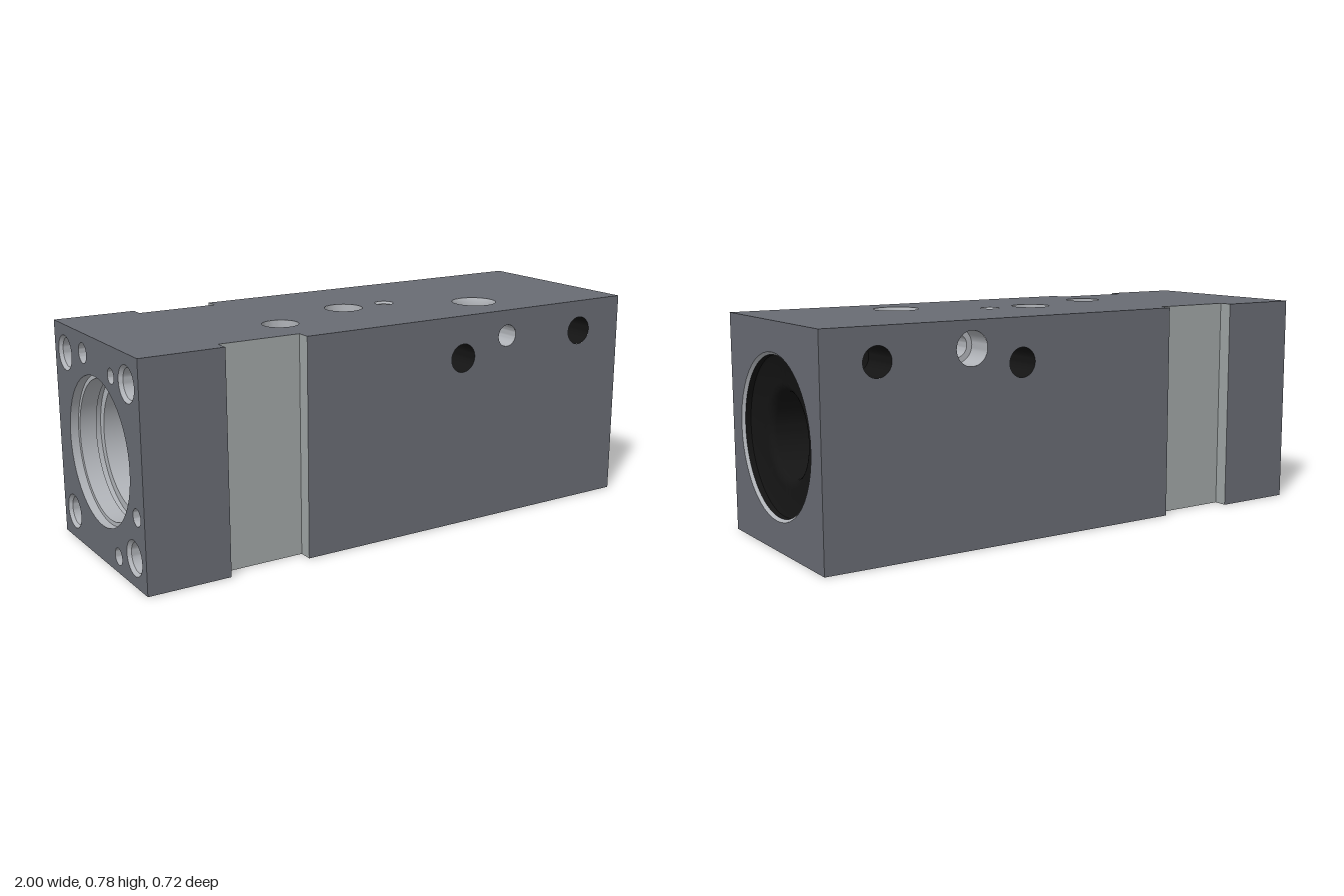
import * as THREE from 'three';
import { toCreasedNormals } from 'three/addons/utils/BufferGeometryUtils.js';

const H = 0.78, D = 0.36, SLOT = 0.05, S0 = -0.7, S1 = -0.4;
const mat = (color) => new THREE.MeshStandardMaterial({ color });
const body = mat(0x686b73), light = mat(0x9fa5a5), steel = mat(0xb0b3b8), black = mat(0x141414);

const rect = (a, b, c, d) => [[a, c], [b, c], [b, d], [a, d]];

// Turned wall of a hole: profile of [radius, depth], visible from inside
function turned(profile, u, v, material, name, sides = 40) {
  const geo = new THREE.LatheGeometry(profile.map(([r, d]) => new THREE.Vector2(r, -d)), sides);
  geo.rotateX(Math.PI / 2);
  const mesh = new THREE.Mesh(toCreasedNormals(geo, 0.6), material);
  mesh.name = name;
  mesh.position.set(u, v, 0);
  return mesh;
}

// One side of the block in its own u, v plane; depth runs inwards along -z.
// The holes pierce the last outline.
function side(name, U, V, origin, outlines, holes) {
  const g = new THREE.Group();
  g.name = name;
  const u = new THREE.Vector3(...U), v = new THREE.Vector3(...V);
  const m = new THREE.Matrix4().makeBasis(u, v, u.clone().cross(v)).setPosition(...origin);
  m.decompose(g.position, g.quaternion, g.scale);
  const shapes = outlines.map((o) => new THREE.Shape(o.map((p) => new THREE.Vector2(...p))));
  for (const h of holes) {
    const r = h.parts[0][1][0][0];
    shapes.at(-1).holes.push(new THREE.Path().absarc(h.u, h.v, r, 0, Math.PI * 2, true));
    h.parts.forEach(([material, profile]) => g.add(turned(profile, h.u, h.v, material, h.name, r > 0.2 ? 96 : 40)));
  }
  const panel = new THREE.Mesh(new THREE.ShapeGeometry(shapes, 24), body);
  panel.name = name + 'Panel';
  g.add(panel);
  return g;
}

const hole = (name, u, v, ...parts) => ({ name, u, v, parts });
const blind = (r, d) => [[r, 0], [r, d], [0, d + r * 0.4]];

// Vertical clamping slot across a long side; m mirrors it for the back
function addSlot(g, m) {
  const add = (w, x, z, turn) => {
    const mesh = new THREE.Mesh(new THREE.PlaneGeometry(w, H), light);
    mesh.name = 'slotWall';
    mesh.position.set(x * m, H / 2, z);
    mesh.rotation.y = turn;
    g.add(mesh);
  };
  add(S1 - S0, (S0 + S1) / 2, -SLOT, 0);
  add(SLOT, S0, -SLOT / 2, m * Math.PI / 2);
  add(SLOT, S1, -SLOT / 2, -m * Math.PI / 2);
}

export function createModel() {
  const model = new THREE.Group();
  model.name = 'boredBlock';

  // Long sides with the slot, two dark ports and a cross hole
  const ports = (m, crossProfile) => [
    hole('port', 0.25 * m, 0.625, [black, blind(0.052, 0.16)]),
    hole('port', 0.8 * m, 0.665, [black, blind(0.052, 0.16)]),
    hole('crossHole', 0.45 * m, 0.685, [steel, crossProfile]),
  ];
  const front = side('front', [1, 0, 0], [0, 1, 0], [0, 0, D],
    [rect(-1, S0, 0, H), rect(S1, 1, 0, H)],
    ports(1, [[0.04, 0], [0.04, 0.15]]));
  const back = side('back', [-1, 0, 0], [0, 1, 0], [0, 0, -D],
    [rect(-S0, 1, 0, H), rect(-1, -S1, 0, H)],
    ports(-1, [[0.06, 0], [0.06, 0.1], [0.04, 0.1], [0.04, 0.47]]));
  addSlot(front, 1);
  addSlot(back, -1);

  // Top and bottom share the notched outline
  const E = D - SLOT;
  const notched = [[-1, -D], [S0, -D], [S0, -E], [S1, -E], [S1, -D], [1, -D],
    [1, D], [S1, D], [S1, E], [S0, E], [S0, D], [-1, D]];
  const top = side('top', [1, 0, 0], [0, 0, -1], [0, H, 0], [notched], [
    hole('verticalHole', 0.45, -0.16,
      [steel, [[0.082, 0], [0.075, 0.012], [0.075, 0.035], [0.05, 0.035], [0.05, 0.055]]],
      [steel, [[0.05, 0.135], [0.05, 0.29]]]),
    hole('oilPort', -0.03, 0,
      [steel, [[0.07, 0], [0.066, 0.06], [0.03, 0.06]]],
      [black, [[0.03, 0.06], [0.03, 0.15], [0, 0.15]]]),
    hole('steppedHole', -0.37, -0.13,
      [steel, [[0.064, 0], [0.064, 0.03], [0.035, 0.03], [0.035, 0.08], [0, 0.08]]]),
    hole('pinHole', 0.15, 0, [steel, [[0.035, 0], [0.027, 0.008], [0.027, 0.05], [0, 0.05]]]),
  ]);
  const bottom = side('bottom', [1, 0, 0], [0, 0, 1], [0, 0, 0], [notched], [
    hole('verticalHole', 0.45, 0.16, [steel, [[0.065, 0], [0.05, 0.015], [0.05, 0.29]]]),
  ]);

  // Right end: chamfered mouth with a dark dished seal around the bore
  const dish = [[0.275, 0.01], [0.275, 0.03], [0.265, 0.035], [0.18, 0.045]];
  for (let i = 1; i <= 6; i++) {
    const a = (i / 6) * Math.PI / 2;
    dish.push([0.18 - 0.035 * Math.sin(a), 0.08 - 0.035 * Math.cos(a)]);
  }
  dish.push([0.145, 0.4]);
  const endOutline = [rect(-D, D, 0, H)];
  const right = side('rightEnd', [0, 0, -1], [0, 1, 0], [1, 0, 0], endOutline, [
    hole('sealedBore', 0, H / 2, [steel, [[0.285, 0], [0.275, 0.01]]], [black, dish]),
  ]);

  // Left end: stepped main bore, corner bolt holes and small pin holes
  const ends = [hole('mainBore', 0, H / 2, [steel,
    [[0.26, 0], [0.26, 0.03], [0.245, 0.03], [0.245, 0.09], [0.255, 0.09], [0.255, 0.11],
      [0.225, 0.11], [0.225, 1.2], [0.145, 1.2], [0.145, 1.6]]])];
  for (const s of [-1, 1]) for (const t of [-1, 1]) {
    ends.push(hole('boltHole', s * 0.265, H / 2 + t * 0.29,
      [steel, [[0.062, 0], [0.052, 0.012], [0.052, 0.2], [0, 0.22]]]));
  }
  for (const [z, y, r] of [[-0.1, 0.71, 0.035], [0.14, 0.68, 0.026], [0.3, 0.25, 0.03], [0.13, 0.06, 0.03]]) {
    ends.push(hole('pinHole', z, y, [steel, blind(r, 0.12)]));
  }
  const left = side('leftEnd', [0, 0, 1], [0, 1, 0], [-1, 0, 0], endOutline, ends);

  model.add(front, back, top, bottom, right, left);
  return model;
}
